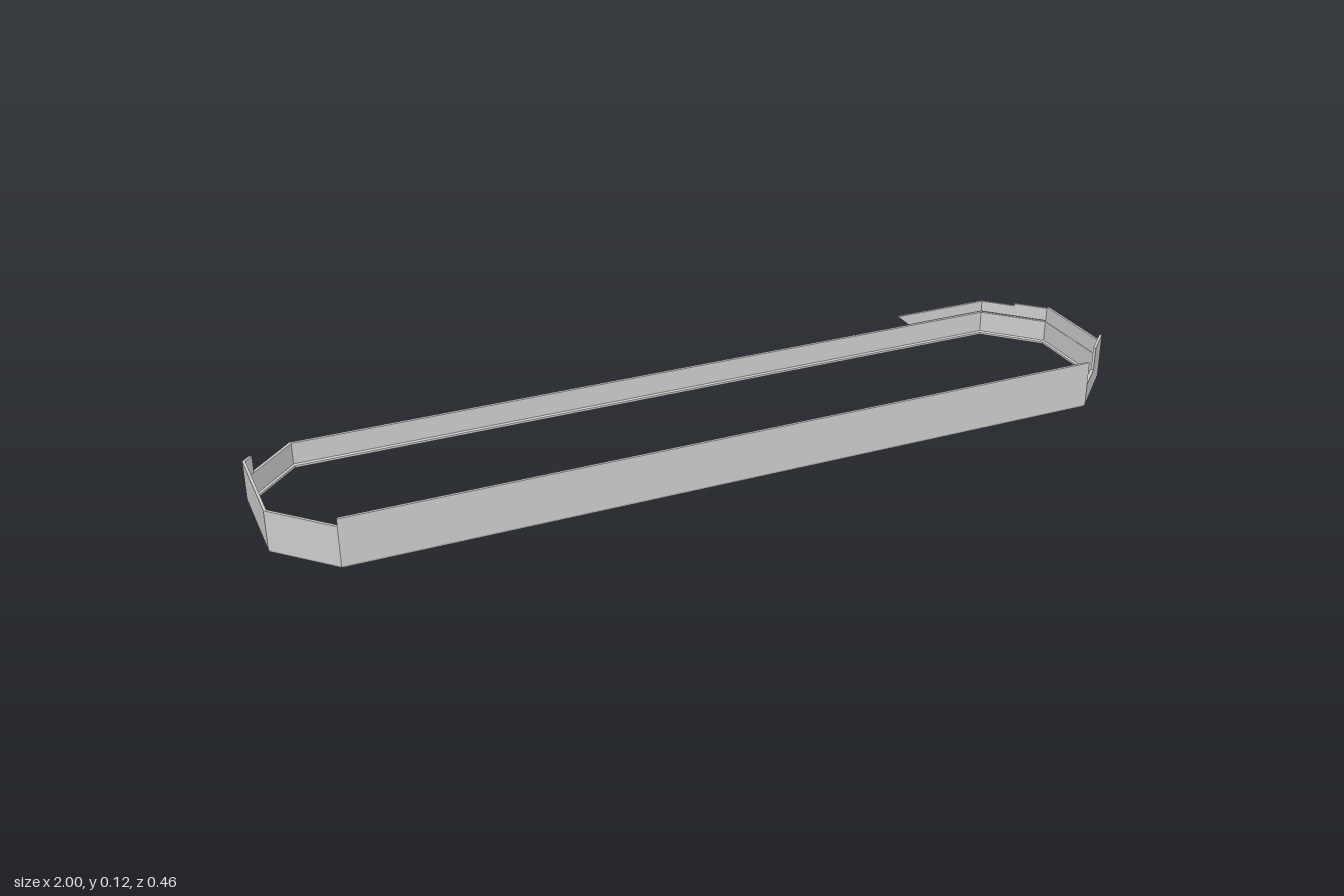
import * as THREE from 'three';

const HX = 1, HZ = 0.232, CUT = 0.12;
const material = new THREE.MeshStandardMaterial({ color: 0xcccccc, flatShading: true });

// Corner i of the long octagon, moved inward by "inset"; runs front, right, back, left.
function corner(i, inset) {
  const k = 0.414 * inset;
  const a = [HX - CUT - k, HZ - inset], b = [HX - inset, HZ - CUT - k];
  const [x, z] = [
    [-a[0], a[1]], a, b, [b[0], -b[1]],
    [a[0], -a[1]], [-a[0], -a[1]], [-b[0], -b[1]], [-b[0], b[1]],
  ][i % 8];
  return new THREE.Vector2(x, z);
}

// Point at u along the outline: whole numbers are corners, fractions lie between them.
function outline(u, inset, y) {
  const i = Math.floor(u);
  const p = corner(i, inset).lerp(corner(i + 1, inset), u - i);
  return new THREE.Vector3(p.x, y, p.y);
}

// Skin a row of closed cross-sections, with optional end caps.
function skin(name, sections, capped) {
  const pos = [];
  const tri = (...pts) => pts.forEach((p) => pos.push(p.x, p.y, p.z));
  const n = sections[0].length;
  for (let s = 0; s + 1 < sections.length; s++) {
    const A = sections[s], B = sections[s + 1];
    for (let k = 0; k < n; k++) {
      const m = (k + 1) % n;
      tri(A[k], B[k], B[m]);
      tri(A[k], B[m], A[m]);
    }
  }
  if (capped) {
    const A = sections[0], B = sections[sections.length - 1];
    for (let k = 1; k + 1 < n; k++) {
      tri(A[0], A[k], A[k + 1]);
      tri(B[0], B[k + 1], B[k]);
    }
  }
  const geo = new THREE.BufferGeometry();
  geo.setAttribute('position', new THREE.Float32BufferAttribute(pos, 3));
  geo.computeVertexNormals();
  const mesh = new THREE.Mesh(geo, material);
  mesh.name = name;
  return mesh;
}

// Thin upright panel on one side of the outline; "slant" pushes out its far top edge.
function panel(name, u0, u1, y0, y1, slant = 0) {
  const t = 0.006;
  const section = (u, s) => [
    outline(u, 0, y0), outline(u + s, 0, y1), outline(u + s, t, y1), outline(u, t, y0),
  ];
  return skin(name, [section(u0, 0), section(u1, slant)], true);
}

export function createModel() {
  const group = new THREE.Group();
  group.name = 'octagonalBand';

  // Lower band: bevelled foot outside, small lip inside
  const profile = [
    [0.006, 0], [0.002, 0.002], [0, 0.007], [0, 0.059],
    [0.007, 0.059], [0.007, 0.008], [0.011, 0.005], [0.011, 0],
  ];
  const ring = [];
  for (let i = 0; i <= 8; i++) ring.push(profile.map(([inset, y]) => outline(i, inset, y)));
  group.add(skin('lowerBand', ring, false));

  // Upper panels of differing height, with a notch at the front left corner
  const base = 0.059;
  group.add(
    panel('frontPanel', 0, 1, base, 0.115),
    panel('frontLeftTab', 1.5, 2, base, 0.115),
    panel('leftPanel', 2, 3, base, 0.098),
    panel('rightPanelReturn', 5.85, 6, base, 0.098),
    panel('rightPanel', 6, 7, base, 0.098),
    panel('frontRightPanel', 7, 8, base, 0.098),
  );

  // Upper strip round the back left corner, just clear of the lower band
  group.add(
    panel('backLeftStripHigh', 3, 3.5, 0.062, 0.095),
    panel('backLeftStripLow', 3.5, 4, 0.062, 0.089),
    panel('backStripEnd', 4, 4.12, 0.062, 0.089, 0.018),
  );
  return group;
}
